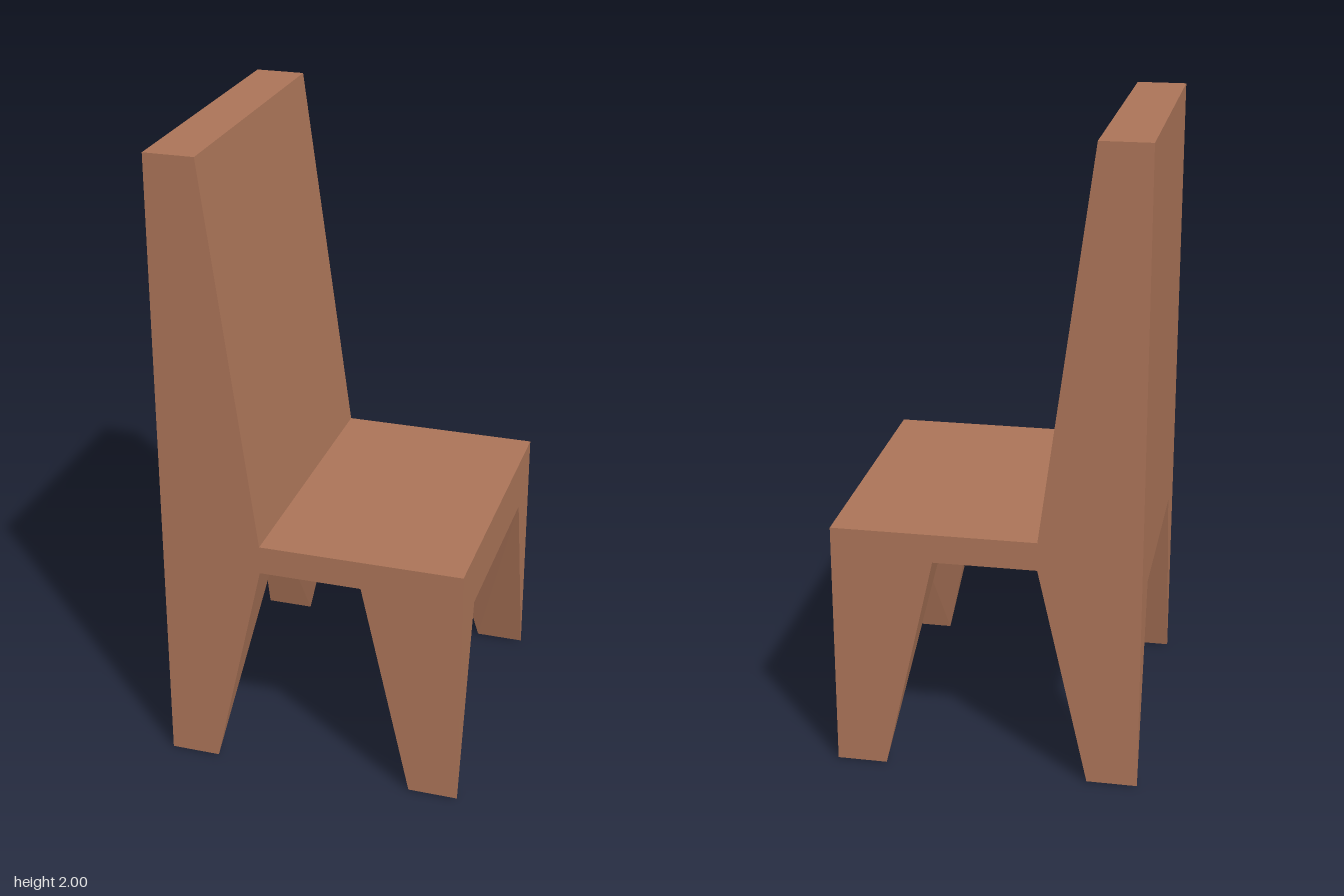
import * as THREE from 'three';
import { ConvexGeometry } from 'three/addons/geometries/ConvexGeometry.js';

const HALF = 0.475;   // half width and half depth
const IN = 0.32;      // inner edge of the leg tops, across z
const MID = 0.16;     // half length of the flat underside, along x
const SEAT = 0.795, FLAT = 0.705, RAIL = 0.625;

// Extrudes an x/y outline evenly to both sides of z = 0
function slab(points, halfDepth) {
  const shape = new THREE.Shape(points.map(([x, y]) => new THREE.Vector2(x, y)));
  const geo = new THREE.ExtrudeGeometry(shape, { depth: 2 * halfDepth, bevelEnabled: false });
  return geo.translate(0, 0, -halfDepth);
}

// Wedge leg that narrows to an edge at the floor; sx and sz pick the corner
function legGeometry(sx, sz) {
  const corners = [
    [HALF, 0, HALF], [0.318, 0, HALF],
    [MID, FLAT, HALF], [MID, FLAT, IN], [HALF, RAIL, IN],
    [HALF, SEAT, HALF], [MID, SEAT, HALF], [HALF, SEAT, IN], [MID, SEAT, IN],
  ];
  return new ConvexGeometry(corners.map(([x, y, z]) => new THREE.Vector3(sx * x, y, sz * z)));
}

export function createModel() {
  const chair = new THREE.Group();
  chair.name = 'chair';
  const wood = new THREE.MeshStandardMaterial({ color: 0xab7458 });
  wood.name = 'brown wood';

  const add = (name, geometry) => {
    const mesh = new THREE.Mesh(geometry, wood);
    mesh.name = name;
    chair.add(mesh);
  };

  // Backrest with a sloping front that leans away from the seat
  add('backrest', slab([[-HALF, SEAT], [-MID, SEAT], [-0.32, 2], [-HALF, 2]], HALF));

  // Seat: full-width middle, and sloped rails between the legs at both ends
  add('seatMiddle', slab([[-MID, FLAT], [MID, FLAT], [MID, SEAT], [-MID, SEAT]], HALF));
  add('frontRail', slab([[MID, FLAT], [HALF, RAIL], [HALF, SEAT], [MID, SEAT]], IN));
  add('backRail', slab([[-HALF, RAIL], [-MID, FLAT], [-MID, SEAT], [-HALF, SEAT]], IN));

  // Four legs
  for (const sx of [-1, 1]) {
    for (const sz of [-1, 1]) add(sx > 0 ? 'frontLeg' : 'backLeg', legGeometry(sx, sz));
  }
  return chair;
}
